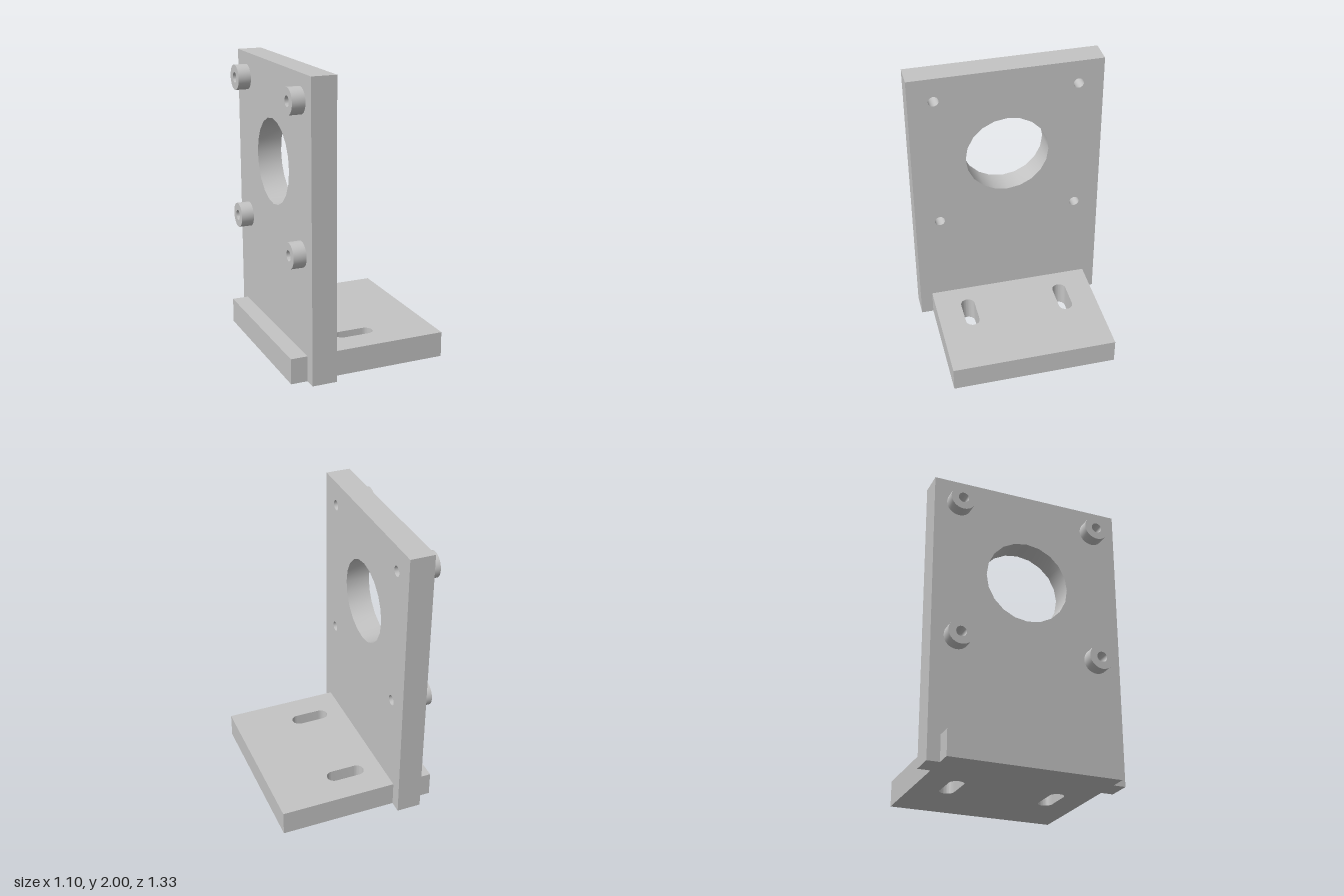
import * as THREE from 'three';
import { toCreasedNormals } from 'three/addons/utils/BufferGeometryUtils.js';

function rectShape(w, y0, y1) {
  const s = new THREE.Shape();
  s.moveTo(-w, y0).lineTo(w, y0).lineTo(w, y1).lineTo(-w, y1).closePath();
  return s;
}

// Closed polygonal circle used for holes and boss outlines
function circlePoints(cx, cy, r, n) {
  return Array.from({ length: n }, (_, i) => {
    const a = (i / n) * Math.PI * 2;
    return new THREE.Vector2(cx + r * Math.cos(a), cy + r * Math.sin(a));
  });
}

function extrude(shape, depth) {
  return new THREE.ExtrudeGeometry(shape, { depth, bevelEnabled: false, curveSegments: 12 });
}

export function createModel() {
  const group = new THREE.Group();
  const metal = new THREE.MeshStandardMaterial({ color: 0xc4c4c4 });
  metal.name = 'light grey metal';

  function add(name, geometry) {
    const mesh = new THREE.Mesh(toCreasedNormals(geometry, 0.6), metal);
    mesh.name = name;
    group.add(mesh);
    return mesh;
  }

  const boltZ = 0.493, boltY = [0.843, 1.83];
  const plateBack = -0.435, plateFront = -0.265;

  // Upright plate with the large bore and four bolt holes
  const plate = rectShape(0.667, 0, 2);
  plate.holes.push(new THREE.Path(circlePoints(0, 1.337, 0.292, 20)));
  for (const z of [-boltZ, boltZ])
    for (const y of boltY) plate.holes.push(new THREE.Path(circlePoints(z, y, 0.036, 20)));
  add('uprightPlate', extrude(plate, plateFront - plateBack).rotateY(Math.PI / 2).translate(plateBack, 0, 0));

  // Base plate with two mounting slots
  const base = rectShape(0.55, -0.582, 0.582);
  for (const z of [-0.348, 0.348]) {
    const slot = new THREE.Path(), r = 0.05, half = 0.087;
    slot.absarc(half, z, r, -Math.PI / 2, Math.PI / 2, false);
    slot.absarc(-half, z, r, Math.PI / 2, Math.PI * 1.5, false);
    slot.closePath();
    base.holes.push(slot);
  }
  add('basePlate', extrude(base, 0.175).rotateX(-Math.PI / 2));

  // Four ring-shaped bosses on the rear of the upright
  for (const z of [-boltZ, boltZ])
    for (const y of boltY) {
      const ring = new THREE.Shape(circlePoints(0, 0, 0.087, 32));
      ring.holes.push(new THREE.Path(circlePoints(0, 0, 0.036, 20)));
      add('boltBoss', extrude(ring, 0.088).rotateY(Math.PI / 2)).position.set(plateBack - 0.088, y, z);
    }

  return group;
}
